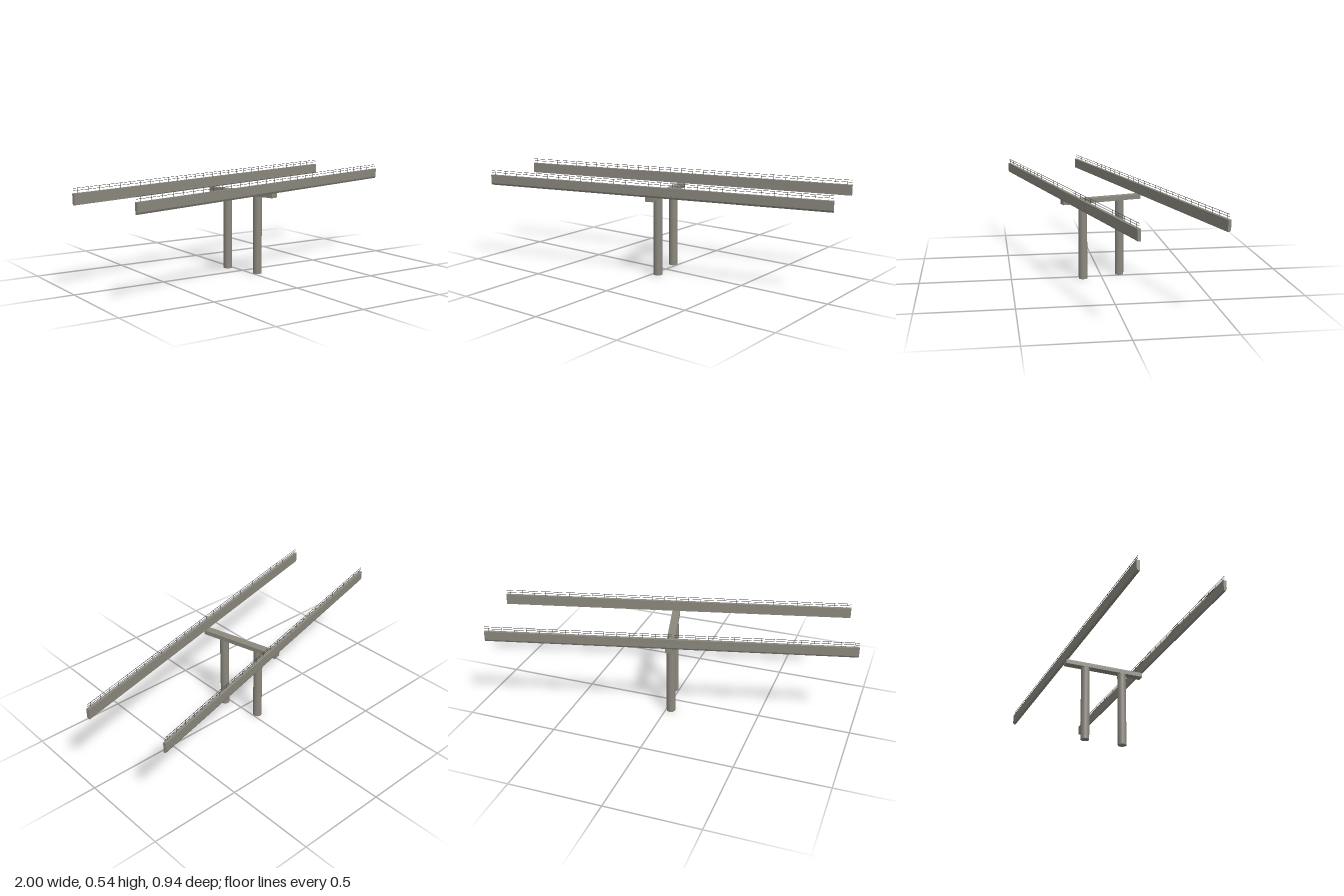
import * as THREE from 'three';

const concrete = new THREE.MeshStandardMaterial({ color: 0x8a877d });
const metal = new THREE.MeshStandardMaterial({ color: 0x444444 });

const SKEW = 0.254;      // angle of the bridge to the x axis
const SLOPE = 0.0026;    // slight rise along the beams
const LENGTH = 1.943;
const DECK_Y = 0.48;     // mid-height of the beams
const BEAM_H = 0.057, BEAM_W = 0.016, BEAM_Z = 0.227;
const CAP_BOTTOM = 0.427;

function add(parent, name, geometry, material, x, y, z) {
  const mesh = new THREE.Mesh(geometry, material);
  mesh.name = name;
  mesh.position.set(x, y, z);
  parent.add(mesh);
  return mesh;
}

// Edge beam along x, with the outer (+z) lower edge chamfered
function beamGeometry() {
  const w = BEAM_W / 2, h = BEAM_H / 2;
  const profile = new THREE.Shape([
    [w, -h], [w, h], [-w, h], [-w, -h + 0.01], [-w + 0.005, -h],
  ].map(([x, y]) => new THREE.Vector2(x, y)));
  const g = new THREE.ExtrudeGeometry(profile, { depth: LENGTH, bevelEnabled: false });
  g.translate(0, 0, -LENGTH / 2);
  g.rotateY(Math.PI / 2);
  return g;
}

// Thin handrail with posts, standing on the top of a beam
function makeRailing() {
  const railing = new THREE.Group();
  railing.name = 'railing';
  const height = 0.026, t = 0.0016, bays = 28, run = LENGTH - 0.05;
  const rail = new THREE.BoxGeometry(LENGTH - 0.002, t, t);
  add(railing, 'topRail', rail, metal, 0, height - t / 2, 0);
  add(railing, 'middleRail', rail, metal, 0, height * 0.52, 0);
  const post = new THREE.BoxGeometry(t, height, t);
  for (let i = 0; i <= bays; i++) {
    add(railing, 'railPost', post, metal, -run / 2 + (run * i) / bays, height / 2, 0);
  }
  return railing;
}

export function createModel() {
  const model = new THREE.Group();
  model.name = 'bridgeFrame';
  const bridge = new THREE.Group();
  bridge.name = 'skewedBridge';
  bridge.rotation.y = SKEW;
  model.add(bridge);

  // Two sloping edge beams with railings
  const deck = new THREE.Group();
  deck.name = 'deckEdges';
  deck.position.y = DECK_Y;
  deck.rotation.z = SLOPE;
  bridge.add(deck);
  const beam = beamGeometry();
  for (const side of [1, -1]) {
    const edge = new THREE.Group();
    edge.name = side > 0 ? 'frontEdge' : 'backEdge';
    edge.position.z = side * BEAM_Z;
    edge.rotation.y = side > 0 ? 0 : Math.PI;
    add(edge, 'edgeBeam', beam, concrete, 0, 0, 0);
    const railing = makeRailing();
    railing.position.y = BEAM_H / 2;
    edge.add(railing);
    deck.add(edge);
  }

  // Pier: crosshead on two round columns
  const pier = new THREE.Group();
  pier.name = 'pier';
  bridge.add(pier);
  const capH = DECK_Y - BEAM_H / 2 - CAP_BOTTOM;
  add(pier, 'pierCap', new THREE.BoxGeometry(0.043, capH, 0.456), concrete, 0, CAP_BOTTOM + capH / 2, 0);
  const column = new THREE.CylinderGeometry(0.024, 0.024, CAP_BOTTOM, 20);
  for (const side of [1, -1]) {
    add(pier, 'column', column, concrete, 0, CAP_BOTTOM / 2, side * 0.109);
  }
  return model;
}
